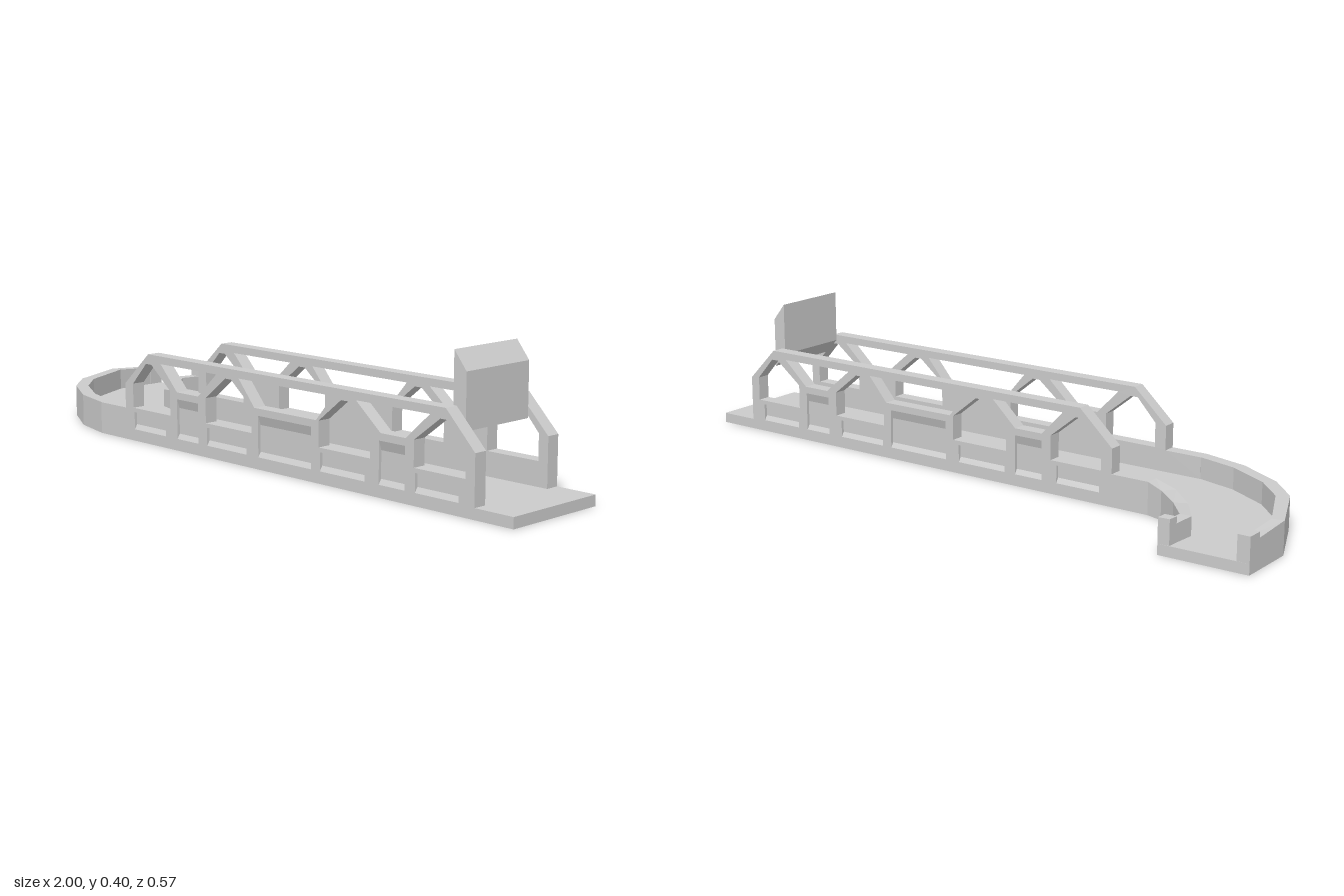
import * as THREE from 'three';

const material = new THREE.MeshStandardMaterial({ color: 0xcccccc, flatShading: true });

const FLOOR = 0.03;     // slab thickness
const WALL = 0.093;     // parapet height
const THICK = 0.04;     // side wall thickness
const RECESS = 0.009;   // depth of the panels in the side walls

function add(parent, name, geometry) {
  const mesh = new THREE.Mesh(geometry, material);
  mesh.name = name;
  parent.add(mesh);
  return mesh;
}

const toPoints = (pts) => pts.map(([x, y]) => new THREE.Vector2(x, y));

// Extrudes an outline (with holes) along +z, from z0 to z0 + depth
function plate(outline, holes, z0, depth) {
  const shape = new THREE.Shape(toPoints(outline));
  for (const h of holes) shape.holes.push(new THREE.Path(toPoints(h)));
  return new THREE.ExtrudeGeometry(shape, { depth, bevelEnabled: false }).translate(0, 0, z0);
}

const rect = (x0, x1, y0, y1) => [[x0, y0], [x1, y0], [x1, y1], [x0, y1]];

// Lofts a wall through sections [x, z, x2, z2, top]: two plan points and a height
function loftWall(sections, base = FLOOR) {
  const rings = sections.map(([x, z, x2, z2, top]) =>
    [[x, base, z], [x, top, z], [x2, top, z2], [x2, base, z2]]);
  const pos = [];
  const tri = (a, b, c) => pos.push(...a, ...b, ...c);
  for (let i = 0; i < rings.length - 1; i++) {
    const r = rings[i], s = rings[i + 1];
    for (let k = 0; k < 4; k++) {
      const n = (k + 1) % 4;
      tri(r[k], s[n], s[k]);
      tri(r[k], r[n], s[n]);
    }
  }
  const a = rings[0], b = rings[rings.length - 1];
  tri(a[0], a[2], a[1]); tri(a[0], a[3], a[2]);
  tri(b[0], b[1], b[2]); tri(b[0], b[2], b[3]);
  const g = new THREE.BufferGeometry();
  g.setAttribute('position', new THREE.Float32BufferAttribute(pos, 3));
  g.computeVertexNormals();
  return g;
}

// Side wall with truss; its outer face is on +z at z = 0
function buildTruss() {
  const truss = new THREE.Group();
  const outline = [[-0.56, FLOOR], [0.88, FLOOR], [0.88, 0.165], [0.785, 0.262], [-0.34, 0.262],
    [-0.445, 0.165], [-0.445, WALL], [-0.56, WALL]];

  // Arched openings: left, right, peak
  const arches = [[-0.41, -0.245, -0.338], [-0.093, 0.093, 0], [0.35, 0.535, 0.443], [0.683, 0.85, 0.78]];
  const windows = arches.map(([l, r, p]) =>
    [[l, 0.097], [r, 0.097], [r, 0.168], [p + 0.012, 0.233], [p - 0.012, 0.233], [l, 0.168]]);

  // Trapezoid openings above the panels: bottom left/right, top left/right
  const upper = [[-0.215, -0.125, -0.285, -0.048], [0.105, 0.34, 0.043, 0.402], [0.57, 0.655, 0.484, 0.735]]
    .map(([bl, br, tl, tr]) => [[bl, 0.168], [br, 0.168], [tr, 0.24], [tl, 0.24]]);

  // Recessed bays: low ones below the arches, tall ones between them
  const bays = [
    ...arches.map(([l, r]) => [l + 0.005, r - 0.02, 0.085]),
    [-0.215, -0.125, 0.148], [0.12, 0.323, 0.148], [0.565, 0.653, 0.148],
  ];
  const openings = [...windows, ...upper];
  add(truss, 'trussCore', plate(outline, openings, -THICK, THICK - RECESS));
  add(truss, 'trussFrame', plate(outline,
    [...openings, ...bays.map(([l, r, top]) => rect(l, r, 0.034, top))], -RECESS, RECESS));

  // Sloping sills and heads of the bays: triangles swept along x
  const slope = (l, r, y0, y1) => {
    const profile = [[0, y0], [RECESS, y0], [RECESS, y1]];
    if (y1 < y0) profile.reverse();
    return plate(profile, [], l, r - l).rotateY(Math.PI / 2);
  };
  for (const [l, r, top] of bays) {
    add(truss, 'baySill', slope(l, r, 0.034, 0.048));
    if (top > 0.1) add(truss, 'bayHead', slope(l, r, top, 0.122));
  }
  return truss;
}

export function createModel() {
  const model = new THREE.Group();
  model.name = 'bridge';

  // Plan points [x, z] of the bend, walking from the straight part to its end
  const outer = [[-0.56, 0.285], [-0.695, 0.25], [-0.834, 0.17], [-0.92, 0.08], [-1, -0.105], [-1, -0.283]];
  const outerIn = [[-0.56, 0.247], [-0.68, 0.215], [-0.805, 0.145], [-0.888, 0.06], [-0.967, -0.112], [-0.965, -0.283]];
  const inner = [[-0.56, -0.035], [-0.61, -0.05], [-0.68, -0.107], [-0.748, -0.19], [-0.743, -0.288]];
  const innerIn = [[-0.56, 0.005], [-0.635, -0.017], [-0.715, -0.09], [-0.782, -0.188], [-0.775, -0.286]];

  // Floor slab in one piece
  const plan = [[1, 0.285], ...outer, ...[...inner].reverse(), [1, -0.035]].map(([x, z]) => [x, -z]);
  add(model, 'deck', plate(plan, [], 0, FLOOR).rotateX(-Math.PI / 2));

  // Parapets round the bend
  const outerTops = [WALL, WALL, WALL, WALL, WALL, 0.081];
  const innerTops = [WALL, 0.082, 0.078, 0.083, 0.08];
  add(model, 'outerParapet', loftWall(outer.map((p, i) => [...p, ...outerIn[i], outerTops[i]])));
  add(model, 'innerParapet', loftWall(innerIn.map((p, i) => [...p, ...inner[i], innerTops[i]])));

  // Posts at the end of the bend
  add(model, 'outerEndPost', loftWall([
    [-1, -0.235, -0.964, -0.235, 0.1], [-1, -0.283, -0.964, -0.283, 0.1]]));
  add(model, 'innerEndPost', loftWall([
    [-0.778, -0.255, -0.744, -0.257, 0.1], [-0.776, -0.286, -0.743, -0.288, 0.1]]));

  // Truss walls on both sides, the back one mirrored in z
  const front = buildTruss();
  front.name = 'frontTruss';
  front.position.z = 0.286;
  const back = buildTruss();
  back.name = 'backTruss';
  back.scale.z = -1;
  back.position.z = -0.035;
  model.add(front, back);

  // Board across the entrance, between the trusses
  add(model, 'entranceBoard', plate(
    [[0.775, 0.245], [0.815, 0.202], [0.815, 0.35], [0.775, 0.4]], [], 0.006, 0.24));

  return model;
}
